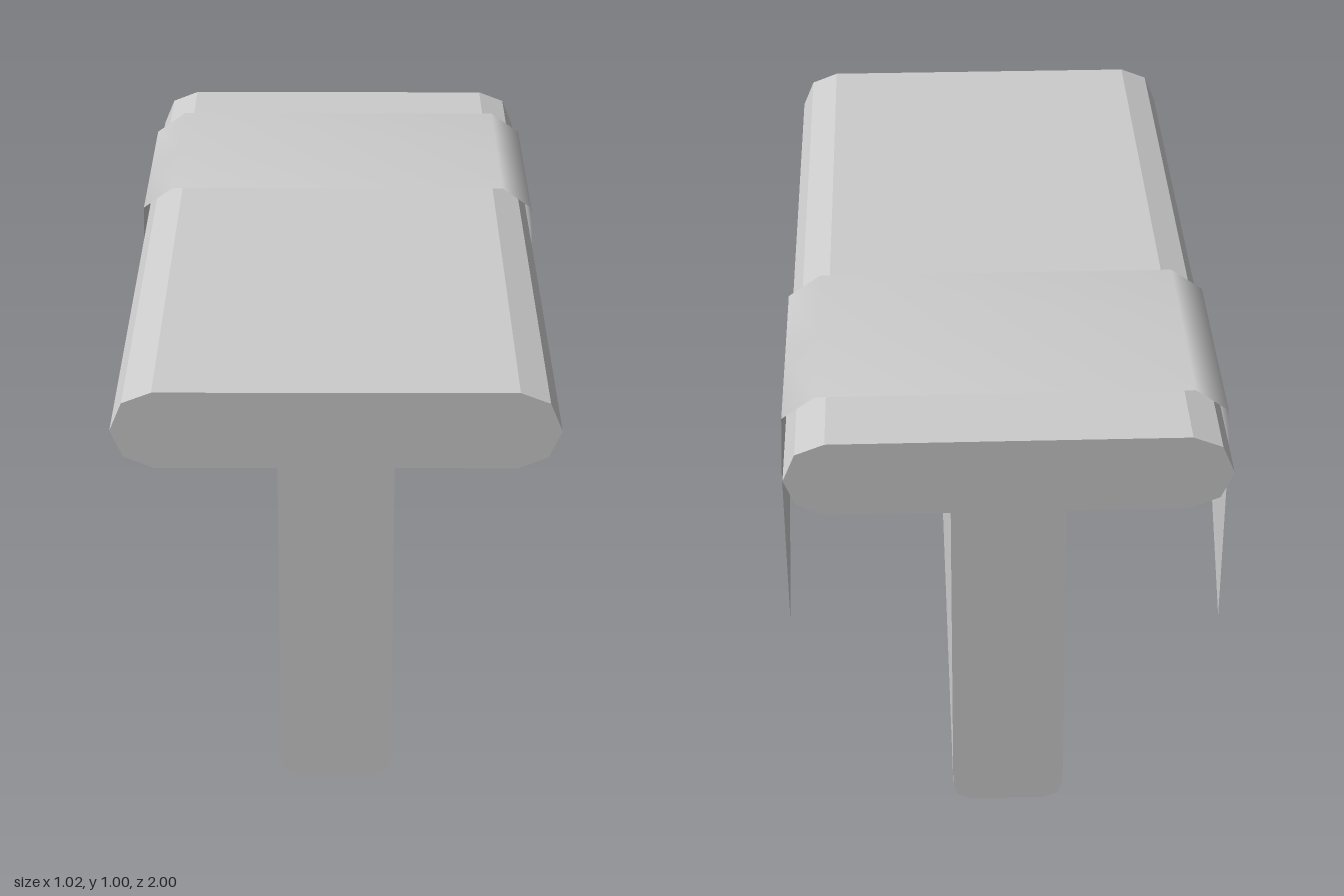
import * as THREE from 'three';

// Mirrors a half outline across x = 0
const mirrored = (half) => [...half, ...half.map(([x, y]) => [-x, y]).reverse()];

export function createModel() {
  const model = new THREE.Group();
  model.name = 'drapedBeam';

  // T-shaped beam with bevelled edges, running along z
  const outline = mirrored([
    [0.085, 0], [0.118, 0.013], [0.13, 0.045], [0.13, 0.815], [0.405, 0.815],
    [0.472, 0.843], [0.5, 0.907], [0.472, 0.974], [0.405, 1.0],
  ]);
  const shape = new THREE.Shape(outline.map(([x, y]) => new THREE.Vector2(x, y)));
  const beamGeometry = new THREE.ExtrudeGeometry(shape, { depth: 2, bevelEnabled: false });
  beamGeometry.translate(0, 0, -1);
  const beam = new THREE.Mesh(
    beamGeometry,
    new THREE.MeshStandardMaterial({ color: 0xcccccc, flatShading: true }),
  );
  beam.name = 'beam';
  model.add(beam);

  // Ribbon draped over the top, each end cut to a swallowtail
  const path = mirrored([
    [-0.508, 0.38], [-0.512, 0.81], [-0.507, 0.95], [-0.43, 1.005],
  ]);
  const columns = [-0.225, -0.515, -0.805];
  const positions = [];
  const indices = [];
  path.forEach(([x, y], i) => {
    const isEnd = i === 0 || i === path.length - 1;
    columns.forEach((z, j) => positions.push(x, isEnd && j === 1 ? 0.65 : y, z));
    if (i === path.length - 1) return;
    for (let j = 0; j < 2; j++) {
      const a = i * 3 + j;
      indices.push(a, a + 3, a + 1, a + 1, a + 3, a + 4);
    }
  });
  const ribbonGeometry = new THREE.BufferGeometry();
  ribbonGeometry.setAttribute('position', new THREE.Float32BufferAttribute(positions, 3));
  ribbonGeometry.setIndex(indices);
  ribbonGeometry.computeVertexNormals();
  const ribbon = new THREE.Mesh(
    ribbonGeometry,
    new THREE.MeshStandardMaterial({ color: 0xcccccc, side: THREE.DoubleSide }),
  );
  ribbon.name = 'ribbon';
  model.add(ribbon);

  return model;
}
